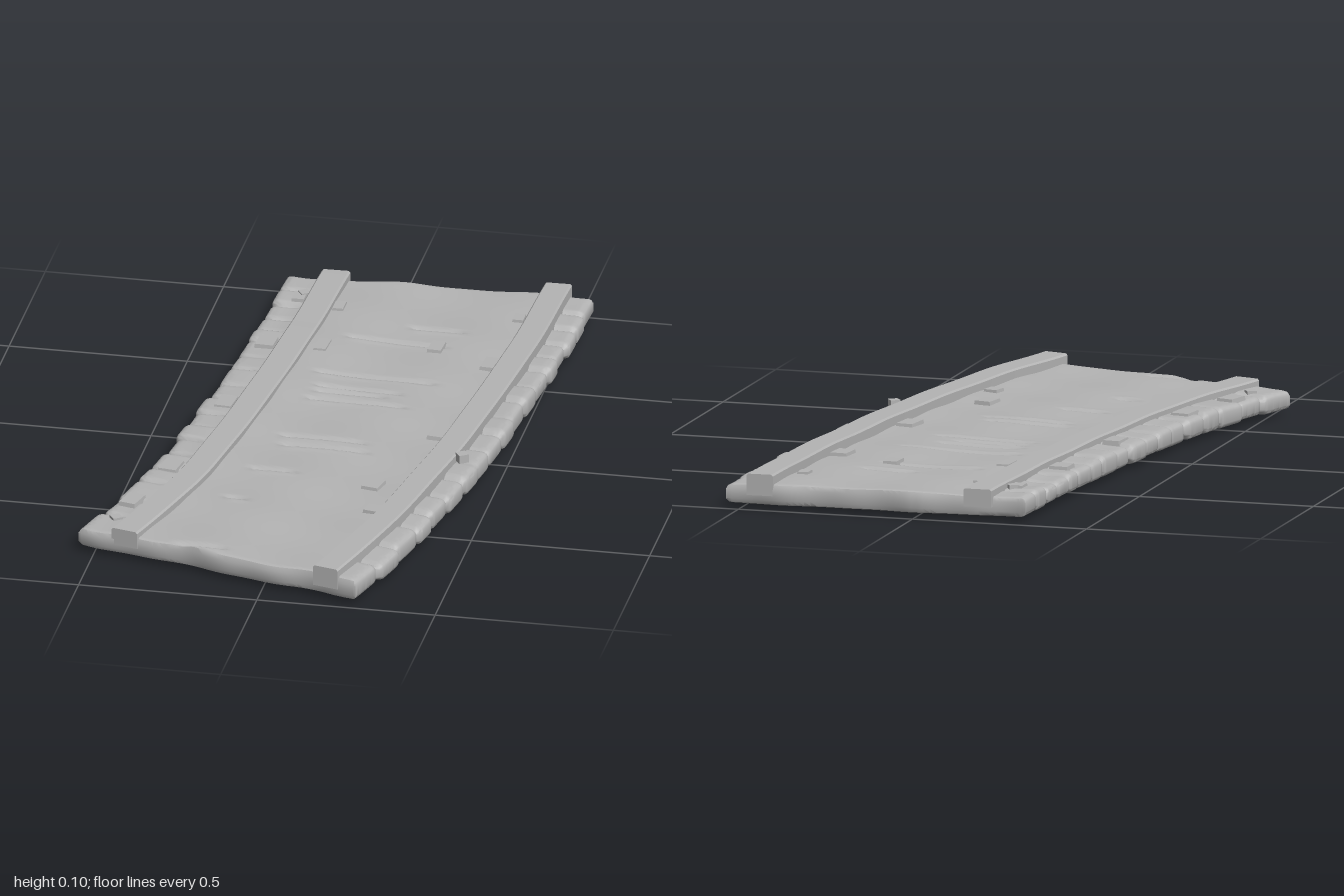
import * as THREE from 'three';
import { toCreasedNormals } from 'three/addons/utils/BufferGeometryUtils.js';

const stone = new THREE.MeshStandardMaterial({ color: 0xb4b4b4 });
stone.name = 'weathered grey';

// Outer edges of the curved deck, from back to front
const edge = pts => new THREE.CatmullRomCurve3(pts.map(([x, z]) => new THREE.Vector3(x, 0, z)));
const leftEdge = edge([[-0.315, -0.975], [-0.33, -0.65], [-0.352, -0.35], [-0.385, 0], [-0.43, 0.35], [-0.47, 0.53], [-0.54, 0.78]]);
const rightEdge = edge([[0.54, -0.995], [0.525, -0.6], [0.5, -0.3], [0.465, 0.05], [0.42, 0.35], [0.36, 0.68], [0.28, 0.99]]);

// u runs across the deck, s runs along it
const at = (u, s) => leftEdge.getPointAt(s).lerp(rightEdge.getPointAt(s), u);
const hash = n => { const v = Math.sin(n * 127.1 + 3.7) * 43758.5453; return v - Math.floor(v) - 0.5; };
const bell = (d, w) => Math.exp(-(d * d) / (w * w));

// Solid swept along the bend: shape(u, s) gives { x, z, top, bottom }
function sweep(us, rows, shape) {
  const n = us.length, ring = 2 * n, pos = [], idx = [];
  for (let i = 0; i <= rows; i++) {
    const s = i / rows, L = leftEdge.getPointAt(s), R = rightEdge.getPointAt(s);
    const cells = us.map(u => shape(u, s, L.clone().lerp(R, u)));
    cells.forEach(c => pos.push(c.x, c.top, c.z));
    cells.reverse().forEach(c => pos.push(c.x, c.bottom, c.z));
  }
  const quad = (a, b, c, d) => idx.push(a, b, c, a, c, d);
  for (let i = 0; i < rows; i++) {
    for (let j = 0; j < ring; j++) {
      const k = (j + 1) % ring, a = i * ring, b = a + ring;
      quad(a + j, b + j, b + k, a + k);
    }
  }
  const f = rows * ring;
  for (let j = 0; j < n - 1; j++) {
    const lo = ring - 1 - j;
    quad(f + j, f + lo, f + lo - 1, f + j + 1);
    quad(j, j + 1, lo - 1, lo);
  }
  const g = new THREE.BufferGeometry();
  g.setAttribute('position', new THREE.Float32BufferAttribute(pos, 3));
  g.setIndex(idx);
  return toCreasedNormals(g, 0.7);
}

// Plank joints along the deck and worn grooves in the walkway [x0, x1, z]
const seams = [0.06, 0.11, 0.16, 0.21, 0.25, 0.31, 0.36, 0.42, 0.47, 0.53, 0.58, 0.63, 0.69, 0.75, 0.8, 0.87, 0.93];
const grooves = [
  [0.1, 0.23, -0.69], [-0.06, 0.2, -0.6], [-0.1, 0.22, -0.36], [-0.08, 0.14, -0.27], [-0.08, 0.1, -0.235],
  [-0.09, 0.17, -0.185], [-0.11, 0.11, 0.07], [-0.1, 0.13, 0.125], [-0.15, -0.04, 0.3], [-0.18, -0.14, 0.5], [-0.25, -0.13, 0.83],
];

function deckShape(u, s, p) {
  const plank = seams.filter(v => v < s).length;
  const gap = Math.min(1, seams.reduce((a, v, i) => a + bell(s - v, 0.0045) * (0.65 + hash(i + 40)), 0));
  const side = u < 0.5 ? -1 : 1;
  const rim = Math.min(u, 1 - u);
  const outer = THREE.MathUtils.clamp((0.13 - rim) / 0.06, 0, 1);
  // Ragged plank ends
  let x = p.x + side * outer * (hash(plank + side * 30) * 0.012 - gap * 0.014);
  // Worn front and back edges
  let z = p.z;
  const wave = Math.sin(u * 13) * 0.006 + Math.sin(u * 29) * 0.003;
  if (s < 0.02) z += (1 - s / 0.02) * (0.008 + wave);
  if (s > 0.98) z += ((s - 0.98) / 0.02) * (wave - 0.005);
  let top = 0.071 + 0.002 * Math.sin(x * 17 + z * 5) + 0.0015 * Math.sin(z * 23 - x * 9);
  top += outer * (hash(plank * 3 + side) * 0.008 - gap * 0.014 - 0.001);
  for (const [x0, x1, gz] of grooves) {
    const inX = THREE.MathUtils.smoothstep(x, x0 - 0.02, x0 + 0.01) * (1 - THREE.MathUtils.smoothstep(x, x1 - 0.01, x1 + 0.02));
    top += inX * (bell(z - gz - 0.018, 0.014) * 0.003 - bell(z - gz - (x - x0) * 0.07, 0.009) * 0.011);
  }
  let bottom = 0.012 + hash(plank + 9) * 0.006 + gap * 0.013 + 0.006 * (u - 0.5) ** 2;
  // Rounded rim on all four sides
  const near = Math.min(rim * 0.86 / 0.022, s * 2 / 0.014, (1 - s) * 2 / 0.014, 1);
  const round = 0.5 + 0.5 * Math.sqrt(1 - (1 - near) ** 2), mid = (top + bottom) / 2;
  return { x, z, top: mid + (top - mid) * round, bottom: mid + (bottom - mid) * round };
}

export function createModel() {
  const group = new THREE.Group();
  const add = (name, geometry) => {
    const mesh = new THREE.Mesh(geometry, stone);
    mesh.name = name;
    group.add(mesh);
    return mesh;
  };

  // Plank deck
  const rim = [0, 0.004, 0.01, 0.018, 0.026];
  const us = [...rim, ...Array.from({ length: 47 }, (_, i) => 0.04 + 0.02 * i), ...rim.map(v => 1 - v).reverse()];
  add('plankDeck', sweep(us, 320, deckShape));

  // Raised curbs with bevelled upper corners
  const curb = (name, u0, u1, height) => {
    const strip = [0, 0.06, 0.5, 0.94, 1].map(t => u0 + (u1 - u0) * t);
    add(name, sweep(strip, 80, (u, s, p) => ({
      x: p.x, z: p.z, bottom: 0.04,
      top: height - (u === strip[0] || u === strip[4] ? 0.005 : 0) + 0.001 * Math.sin(s * 31),
    })));
  };
  curb('rightCurb', 0.112, 0.205, 0.09);
  curb('leftCurb', 0.84, 0.928, 0.1);

  // Worn pads beside the curbs [x, z, width, length, turn]
  const pads = [
    [-0.25, -0.82, 0.04, 0.06, 0], [-0.28, -0.51, 0.06, 0.07, 0.05], [-0.31, -0.1, 0.055, 0.08, 0.1],
    [-0.375, 0.34, 0.06, 0.08, 0.15], [-0.435, 0.58, 0.055, 0.08, 0.25], [-0.125, -0.52, 0.04, 0.08, 0.05],
    [-0.13, -0.78, 0.035, 0.06, 0], [0.37, -0.8, 0.035, 0.05, 0], [0.355, -0.49, 0.055, 0.08, 0.08],
    [0.305, -0.02, 0.055, 0.09, 0.12], [0.195, 0.35, 0.055, 0.07, 0.2], [0.225, 0.51, 0.045, 0.05, 0.2],
    [0.185, -0.57, 0.045, 0.07, 0.05],
  ];
  pads.forEach(([x, z, w, l, turn], i) => {
    const pad = new THREE.CylinderGeometry(0.6, 0.7071, 1, 4);
    pad.rotateY(Math.PI / 4).scale(w, 0.03, l);
    const mesh = add('wornPad' + (i + 1), toCreasedNormals(pad, 0.3));
    mesh.position.set(x, 0.064, z);
    mesh.rotation.y = -turn;
  });

  // Small diamond pegs
  [[0.405, 0.16, 0.09], [-0.455, 0.7, 0.065], [-0.24, -0.84, 0.07]].forEach(([x, z, y], i) => {
    const peg = add('peg' + (i + 1), new THREE.BoxGeometry(0.028, 0.024, 0.028));
    peg.position.set(x, y, z);
    peg.rotation.y = 0.6;
  });

  // Knot under the deck
  const knot = add('undersideKnot', new THREE.SphereGeometry(1, 20, 12));
  knot.scale.set(0.06, 0.014, 0.025);
  knot.position.set(-0.06, 0.014, 0.02);
  return group;
}
